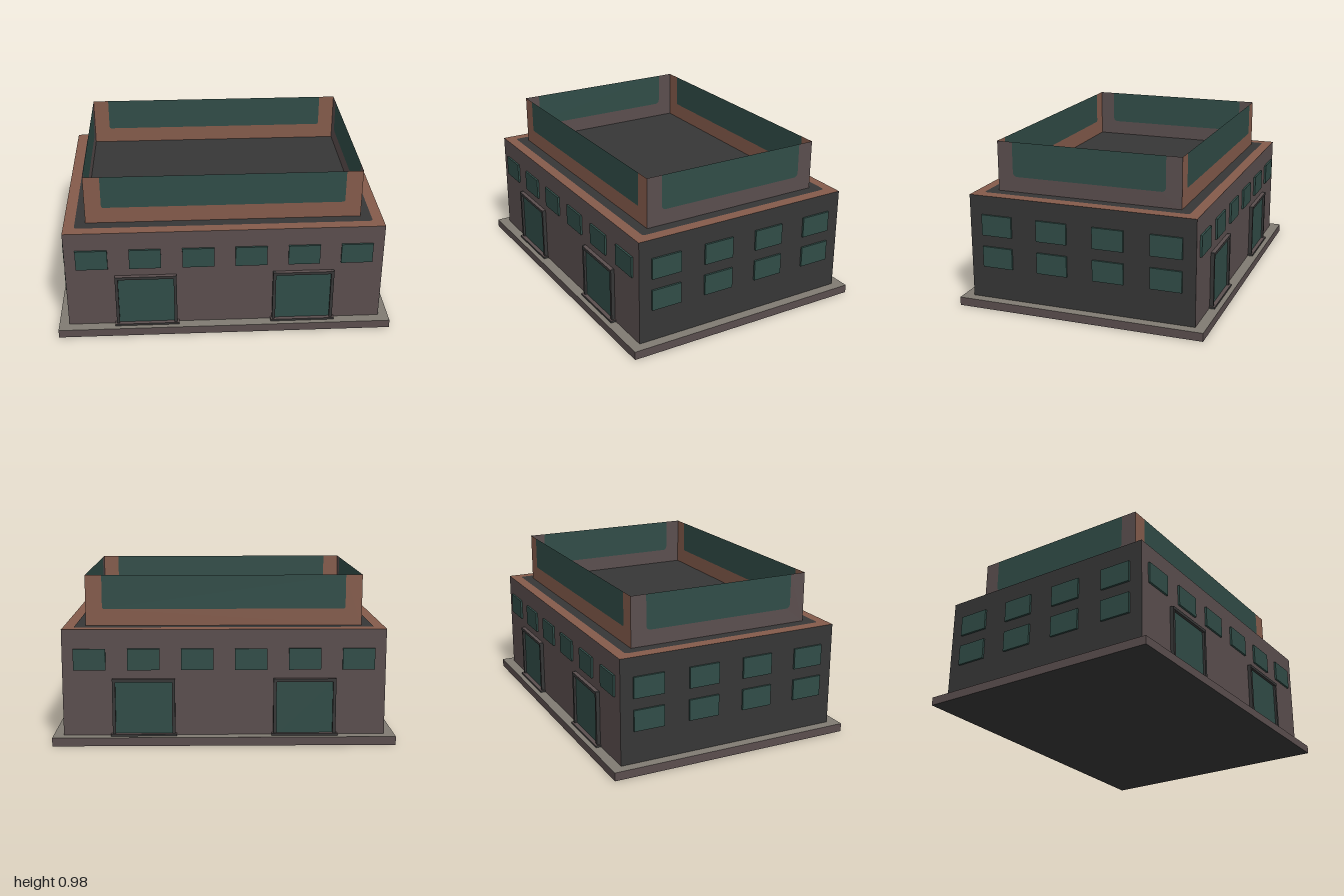
import * as THREE from 'three';

const mat = (name, color, side = THREE.FrontSide) => {
  const m = new THREE.MeshStandardMaterial({ color, side });
  m.name = name;
  return m;
};

// Rectangle outline whose lower (and optionally upper) corners are rounded
function rounded(path, w, y0, y1, r, top) {
  path.moveTo(-w + r, y0);
  path.lineTo(w - r, y0);
  path.quadraticCurveTo(w, y0, w, y0 + r);
  if (top) {
    path.lineTo(w, y1 - r);
    path.quadraticCurveTo(w, y1, w - r, y1);
    path.lineTo(-w + r, y1);
    path.quadraticCurveTo(-w, y1, -w, y1 - r);
  } else {
    path.lineTo(w, y1);
    path.lineTo(-w, y1);
  }
  path.lineTo(-w, y0 + r);
  path.quadraticCurveTo(-w, y0, -w + r, y0);
  return path;
}

export function createModel() {
  const model = new THREE.Group();
  model.name = 'building';

  const mauve = mat('mauve wall', 0x5a4e4e, THREE.DoubleSide);
  const dark = mat('dark grey', 0x363636);
  const brick = mat('brick brown', 0x845b4b, THREE.DoubleSide);
  const stone = mat('pale stone', 0x807b72);
  const glass = mat('green glass', 0x304c47, THREE.DoubleSide);

  const add = (parent, name, geometry, material, x = 0, y = 0, z = 0) => {
    const mesh = new THREE.Mesh(geometry, material);
    mesh.name = name;
    mesh.position.set(x, y, z);
    parent.add(mesh);
    return mesh;
  };
  const box = (parent, name, w, h, d, material, x, y, z) =>
    add(parent, name, new THREE.BoxGeometry(w, h, d), material, x, y, z);

  const W = 0.94, D = 0.687, baseTop = 0.05, roofY = 0.677, topY = 0.977;

  // Plinth and main block, face order: +x, -x, top, bottom, front, back
  box(model, 'plinth', 2, baseTop, 1.5, [mauve, mauve, stone, dark, mauve, mauve], 0, baseTop / 2, 0);
  box(model, 'mainBlock', 2 * W, roofY - baseTop, 2 * D,
    [dark, dark, brick, dark, mauve, mauve], 0, (roofY + baseTop) / 2, 0);

  // Dark roof surface inside the brick border
  const roofShape = rounded(new THREE.Shape(), 0.875, -0.625, 0.625, 0.02, true);
  add(model, 'roofSurface', new THREE.ShapeGeometry(roofShape), dark, 0, roofY + 0.002, 0)
    .rotation.x = -Math.PI / 2;

  // Thin parapet wall with a glazed panel set into its upper edge
  function parapet(name, half, panelHalf, panelY, r, material) {
    const g = new THREE.Group();
    g.name = name;
    const wall = new THREE.Shape();
    wall.moveTo(-half, roofY);
    wall.lineTo(half, roofY);
    wall.lineTo(half, topY);
    wall.lineTo(panelHalf, topY);
    wall.lineTo(panelHalf, panelY + r);
    wall.quadraticCurveTo(panelHalf, panelY, panelHalf - r, panelY);
    wall.lineTo(-panelHalf + r, panelY);
    wall.quadraticCurveTo(-panelHalf, panelY, -panelHalf, panelY + r);
    wall.lineTo(-panelHalf, topY);
    wall.lineTo(-half, topY);
    add(g, 'parapetWall', new THREE.ShapeGeometry(wall), material);
    const panel = rounded(new THREE.Shape(), panelHalf, panelY, topY, r, false);
    add(g, 'parapetGlass', new THREE.ShapeGeometry(panel), glass);
    return g;
  }

  // Framed door with recessed glass and a sill, standing on the wall plane z = 0
  function door(x) {
    const g = new THREE.Group();
    g.name = 'door';
    g.position.x = x;
    const w = 0.365, top = 0.388, bar = 0.018, depth = 0.022;
    box(g, 'doorGlass', w - 2 * bar, top - bar - baseTop, 0.008, glass, 0, (top - bar + baseTop) / 2, 0.004);
    for (const s of [-1, 1]) {
      box(g, 'doorJamb', bar, top - baseTop, depth, dark,
        s * (w - bar) / 2, (top + baseTop) / 2, depth / 2);
    }
    box(g, 'doorLintel', w, bar, depth + 0.002, [dark, dark, mauve, dark, dark, dark],
      0, top - bar / 2, depth / 2 + 0.001);
    box(g, 'doorSill', 0.385, 0.012, 0.033, [dark, dark, mauve, dark, dark, dark],
      0, baseTop + 0.006, 0.0165);
    return g;
  }

  for (const s of [1, -1]) {
    // Front and back facades
    const facade = new THREE.Group();
    facade.name = s > 0 ? 'frontFacade' : 'backFacade';
    facade.position.z = s * D;
    facade.rotation.y = s > 0 ? 0 : Math.PI;
    for (let i = 0; i < 6; i++) {
      box(facade, 'window', 0.187, 0.125, 0.012, glass, (i - 2.5) * 0.3125, 0.502, 0.006);
    }
    facade.add(door(-0.469), door(0.469));
    model.add(facade);

    // Side facades with two rows of windows
    const side = new THREE.Group();
    side.name = s > 0 ? 'leftFacade' : 'rightFacade';
    side.position.x = s * W;
    side.rotation.y = s * Math.PI / 2;
    for (const y of [0.308, 0.502]) {
      for (let i = 0; i < 4; i++) {
        box(side, 'window', 0.187, 0.125, 0.012, glass, (i - 1.5) * 0.344, y, 0.006);
      }
    }
    model.add(side);

    // Parapet: brick along front and back, mauve along the sides
    const long = parapet('longParapet', 0.812, 0.715, 0.777, 0.015, brick);
    long.position.z = s * 0.562;
    const short = parapet('shortParapet', 0.562, 0.468, 0.77, 0.03, mauve);
    short.position.x = s * 0.812;
    short.rotation.y = s * Math.PI / 2;
    model.add(long, short);
  }
  return model;
}
